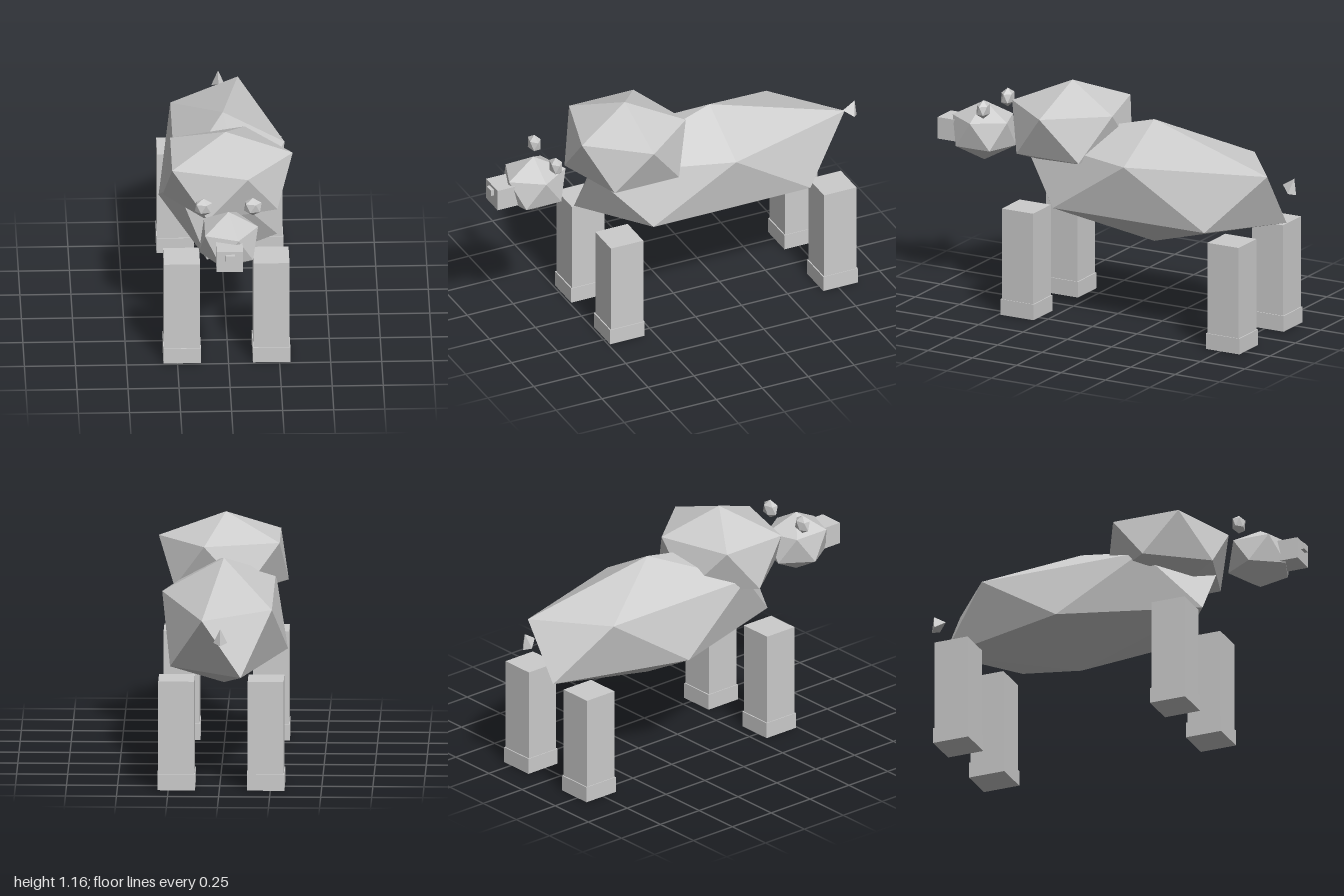
import * as THREE from 'three';
import { ConvexGeometry } from 'three/addons/geometries/ConvexGeometry.js';

const CX = -0.008; // body axis

// Faceted twelve-cornered ball: two poles and two staggered rings of five.
// ys = [top, upper ring, lower ring, bottom]; each ring has its own x radius.
function facetedBall(x, z, ys, rxUpper, rxLower, rz) {
  const ring = (y, rx, turn) => Array.from({ length: 5 }, (_, i) => {
    const a = ((i + turn) * 2 * Math.PI) / 5;
    return [x + 0.8944 * rx * Math.cos(a), y, z + 0.8944 * rz * Math.sin(a)];
  });
  const top = [x, ys[0], z];
  const bottom = [x, ys[3], z];
  const u = ring(ys[1], rxUpper, 0);
  const l = ring(ys[2], rxLower, 0.5);
  const corners = [];
  for (let i = 0; i < 5; i++) {
    const j = (i + 1) % 5;
    corners.push(top, u[j], u[i]);
    corners.push(u[i], u[j], l[i]);
    corners.push(l[i], u[j], l[j]);
    corners.push(l[i], l[j], bottom);
  }
  const geometry = new THREE.BufferGeometry();
  geometry.setAttribute('position', new THREE.Float32BufferAttribute(corners.flat(), 3));
  geometry.computeVertexNormals();
  return geometry;
}

// Box given by its extents along each axis
function box([x0, x1], [y0, y1], [z0, z1]) {
  return new THREE.BoxGeometry(x1 - x0, y1 - y0, z1 - z0)
    .translate((x0 + x1) / 2, (y0 + y1) / 2, (z0 + z1) / 2);
}

export function createModel() {
  const model = new THREE.Group();
  model.name = 'lowPolyAnimal';
  const grey = new THREE.MeshStandardMaterial({ color: 0xcccccc });
  grey.name = 'light grey';

  const add = (name, geometry, parent = model) => {
    const mesh = new THREE.Mesh(geometry, grey);
    mesh.name = name;
    parent.add(mesh);
  };

  // Trunk and shoulder hump
  add('body', facetedBall(CX, -0.2, [1.023, 0.855, 0.571, 0.4], 0.338, 0.351, 0.811));
  add('shoulders', facetedBall(CX, 0.26, [1.156, 1.036, 0.816, 0.71], 0.368, 0.344, 0.332));

  // Head with muzzle, nose and ears
  const head = new THREE.Group();
  head.name = 'head';
  model.add(head);
  add('skull', facetedBall(CX, 0.757, [0.975, 0.892, 0.757, 0.673], 0.162, 0.162, 0.18), head);
  add('muzzle', box([-0.073, 0.057], [0.762, 0.872], [0.87, 0.983]), head);
  add('nose', box([-0.031, 0.016], [0.825, 0.857], [0.96, 1.0]), head);
  for (const [name, side] of [['leftEar', 1], ['rightEar', -1]]) {
    const ys = [1.017, 0.991, 0.948, 0.922];
    add(name, facetedBall(CX + side * 0.121, 0.694, ys, 0.048, 0.048, 0.034), head);
  }

  // Legs with slightly wider feet
  for (const [end, z] of [['front', 0.396], ['back', -0.763]]) {
    for (const [sideName, side] of [['Left', 1], ['Right', -1]]) {
      const x = CX + side * 0.219;
      const leg = new THREE.Group();
      leg.name = `${end}${sideName}Leg`;
      model.add(leg);
      add('shin', box([x - 0.088, x + 0.088], [0.04, 0.543], [z - 0.088, z + 0.088]), leg);
      add('foot', box([x - 0.092, x + 0.092], [0, 0.08], [z - 0.094, z + 0.094]), leg);
    }
  }

  // Stubby tail
  add('tail', new ConvexGeometry([
    new THREE.Vector3(CX, 0.797, -0.925),
    new THREE.Vector3(CX, 0.837, -0.989),
    new THREE.Vector3(CX, 0.754, -1.0),
    new THREE.Vector3(CX + 0.034, 0.765, -0.972),
    new THREE.Vector3(CX - 0.034, 0.765, -0.972),
  ]));

  return model;
}
